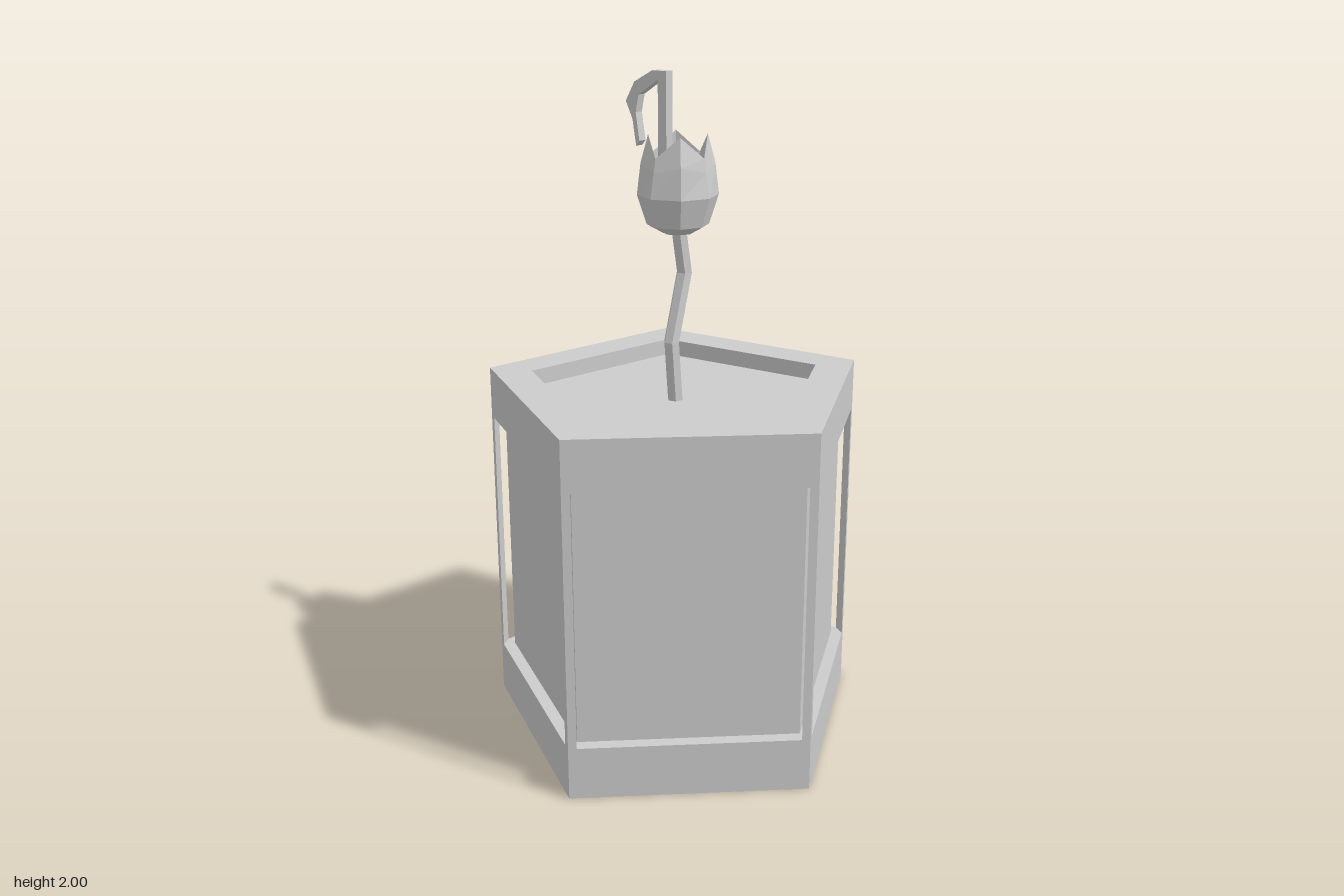
import * as THREE from 'three';

const CZ = 0.058;      // shared vertical axis of planter and flower
const R = 0.593;       // outer circumradius of the pentagon
const mat = new THREE.MeshStandardMaterial({ color: 0xcccccc, flatShading: true });

function add(group, name, geometry) {
  const mesh = new THREE.Mesh(geometry, mat);
  mesh.name = name;
  group.add(mesh);
  return mesh;
}

// Pentagon corner; shape +y becomes world -z once laid flat
function corner(r, i) {
  const a = (i * 2 * Math.PI) / 5;
  return new THREE.Vector2(r * Math.sin(a), r * Math.cos(a));
}
const pentagon = (r) => [0, 1, 2, 3, 4].map((i) => corner(r, i));

// Upright prism between two heights, with an optional hole
function prism(points, y0, y1, hole) {
  const shape = new THREE.Shape(points);
  if (hole) shape.holes.push(new THREE.Path(hole));
  const g = new THREE.ExtrudeGeometry(shape, { depth: y1 - y0, bevelEnabled: false });
  return g.rotateX(-Math.PI / 2).translate(0, y0, CZ);
}

// Flat-sided skin through a stack of rings of points
function skin(rings) {
  const pos = [];
  const n = rings[0].length;
  for (let i = 0; i < rings.length - 1; i++) {
    for (let j = 0; j < n; j++) {
      const k = (j + 1) % n;
      const a = rings[i][j], b = rings[i][k], c = rings[i + 1][k], d = rings[i + 1][j];
      for (const v of [a, b, c, a, c, d]) pos.push(v.x, v.y, v.z);
    }
  }
  const g = new THREE.BufferGeometry();
  g.setAttribute('position', new THREE.Float32BufferAttribute(pos, 3));
  g.computeVertexNormals();
  return g;
}

function ring(cx, cz, n, radius, height) {
  return Array.from({ length: n }, (_, j) => {
    const a = (j * 2 * Math.PI) / n;
    const r = radius(j);
    return new THREE.Vector3(cx + r * Math.sin(a), height(j), cz + r * Math.cos(a));
  });
}

function createPlanter() {
  const planter = new THREE.Group();
  planter.name = 'planter';
  add(planter, 'baseRim', prism(pentagon(R), 0, 0.163));
  add(planter, 'topRim', prism(pentagon(R), 0.945, 1.1, pentagon(0.458).reverse()));
  // Recessed side panels and the soil surface
  add(planter, 'panelCore', prism(pentagon(0.548), 0.1, 1.05));
  // Slim corner posts standing clear of the panels
  for (let i = 0; i < 5; i++) {
    const c = corner(R, i);
    const along = (j) => c.clone().lerp(corner(R, j), 0.036);
    add(planter, 'cornerPost', prism([c, along(i + 1), along(i + 4)], 0.163, 0.945));
  }
  return planter;
}

function createFlower() {
  const flower = new THREE.Group();
  flower.name = 'flower';

  // Kinked six-sided stem
  const path = [[-0.008, 1.04, 0.068], [-0.02, 1.23, 0.078], [0.02, 1.43, 0.042], [0, 1.58, CZ]];
  add(flower, 'stem', skin(path.map(([x, y, z]) => ring(x, z, 6, () => 0.024, () => y))));

  // Eight-sided cup: [tip radius, tip y, notch radius, notch y], outside then inside
  const profile = [
    [0, 1.55, 0, 1.55], [0.045, 1.55, 0.045, 1.55], [0.09, 1.575, 0.09, 1.575],
    [0.117, 1.66, 0.117, 1.66], [0.106, 1.75, 0.104, 1.73], [0.084, 1.83, 0.096, 1.77],
    [0.088, 1.75, 0.088, 1.745], [0.092, 1.67, 0.092, 1.67], [0, 1.66, 0, 1.66],
  ];
  const rings = profile.map(([rt, yt, rn, yn]) =>
    ring(0, CZ, 8, (j) => (j % 2 ? rn : rt), (j) => (j % 2 ? yn : yt)));
  add(flower, 'petalCup', skin(rings));

  // Faceted seed lying inside the cup
  const seed = add(flower, 'seed', new THREE.SphereGeometry(1, 8, 4).rotateZ(Math.PI / 2));
  seed.scale.set(0.08, 0.055, 0.045);
  seed.rotation.y = -Math.PI / 4.3;
  seed.position.set(0.002, 1.725, 0.056);

  // Hooked stamen, bending towards the back right
  const outline = [
    [-0.015, 1.7], [0.015, 1.7], [0.015, 1.975], [0.085, 1.93], [0.096, 1.88], [0.083, 1.8],
    [0.095, 1.785], [0.108, 1.86], [0.132, 1.91], [0.1, 1.965], [0.035, 2], [-0.015, 2],
  ];
  const shape = new THREE.Shape(outline.map(([s, y]) => new THREE.Vector2(s, y)));
  const hookGeo = new THREE.ExtrudeGeometry(shape, { depth: 0.028, bevelEnabled: false });
  const hook = add(flower, 'hookedStamen', hookGeo.translate(0, 0, -0.014));
  hook.rotation.y = Math.PI - Math.atan2(0.67, 0.74);
  hook.position.set(-0.034, 0, 0.026);
  return flower;
}

export function createModel() {
  const model = new THREE.Group();
  model.name = 'pottedFlower';
  model.add(createPlanter(), createFlower());
  return model;
}
